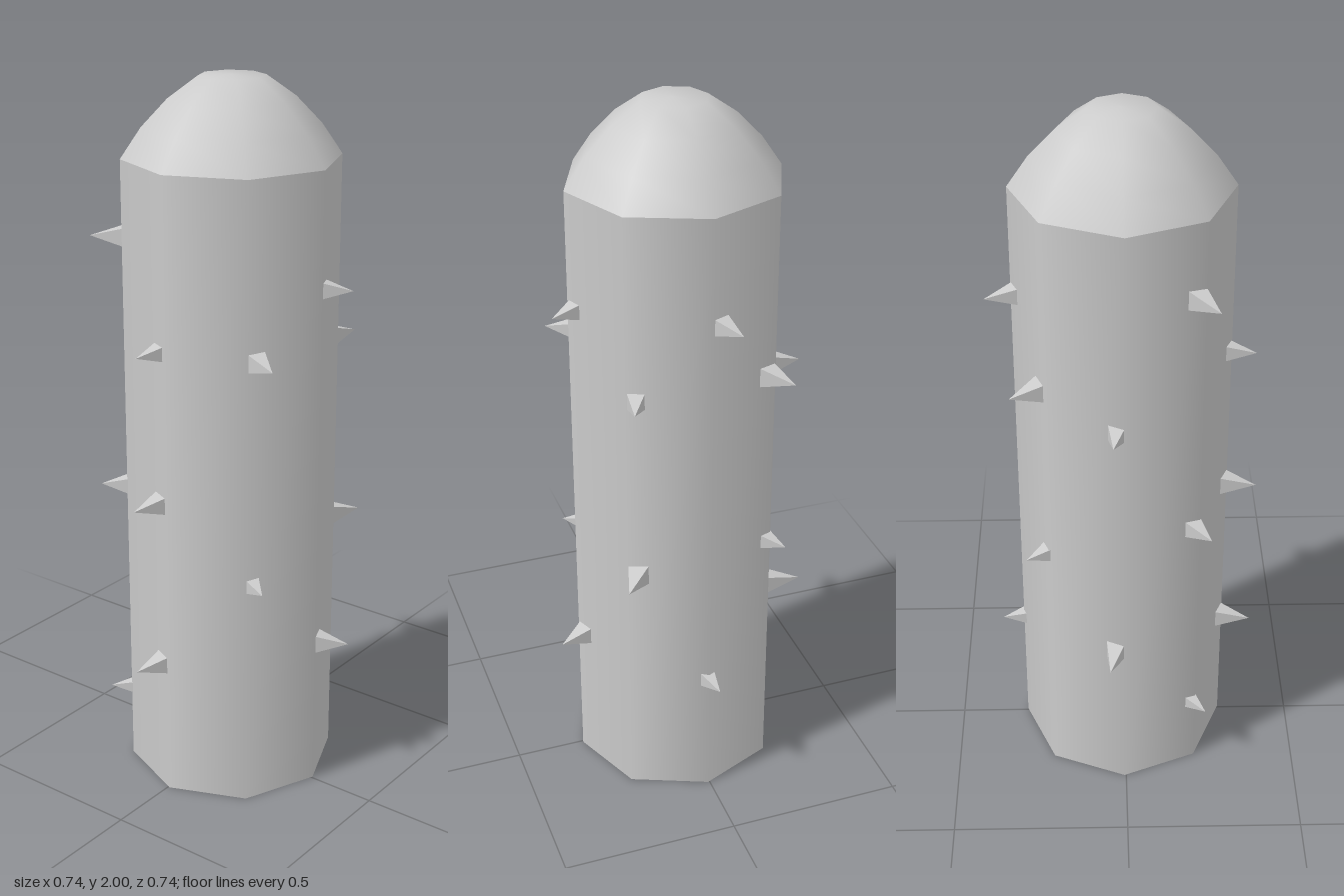
import * as THREE from 'three';

const mat = new THREE.MeshStandardMaterial({ color: 0xcccccc });
const flatMat = new THREE.MeshStandardMaterial({ color: 0xcccccc, flatShading: true });

// Four-sided thorn from a base point on the trunk to its tip
function makeThorn(base, tip, y, half) {
  const from = new THREE.Vector3(base[0], y, base[1]);
  const dir = new THREE.Vector3(tip[0], y, tip[1]).sub(from);
  const sink = 0.012;
  const length = dir.length() + sink;
  const geo = new THREE.ConeGeometry(half * Math.SQRT2, length, 4);
  geo.rotateY(Math.PI / 4);
  geo.translate(0, length / 2 - sink, 0);
  geo.rotateX(Math.PI / 2); // tip along +z
  const thorn = new THREE.Mesh(geo, flatMat);
  thorn.position.copy(from);
  thorn.rotation.y = Math.atan2(dir.x, dir.z);
  thorn.name = 'thorn';
  return thorn;
}

export function createModel() {
  const model = new THREE.Group();
  model.name = 'cactus';
  const sides = 8, radius = 0.296, shoulder = 1.785;

  // Eight-sided trunk
  const trunk = new THREE.Mesh(new THREE.CylinderGeometry(radius, radius, shoulder, sides), mat);
  trunk.position.set(0.005, shoulder / 2, 0.005);
  trunk.name = 'trunk';
  model.add(trunk);

  // Rounded crown
  const profile = [[radius, shoulder], [0.24, 1.867], [0.17, 1.94], [0.09, 1.997], [0, 2]]
    .map(([r, y]) => new THREE.Vector2(r, y));
  const crown = new THREE.Mesh(new THREE.LatheGeometry(profile, sides), mat);
  crown.position.set(0.005, 0, 0.005);
  crown.name = 'crown';
  model.add(crown);

  // Thorns near each corner of the trunk: base [x, z], tip [x, z], height, half width
  const thorns = [
    // front
    [[0.03, 0.288], [0.062, 0.36], 1.465, 0.025],
    [[0.032, 0.288], [0.068, 0.37], 0.43, 0.029],
    // front left
    [[0.23, 0.19], [0.298, 0.215], 1.275, 0.025],
    [[0.23, 0.192], [0.305, 0.24], 0.735, 0.029],
    // left
    [[0.29, -0.02], [0.37, -0.05], 1.49, 0.026],
    [[0.293, 0.006], [0.362, -0.005], 0.38, 0.023],
    // back left
    [[0.23, -0.18], [0.305, -0.225], 1.29, 0.028],
    [[0.22, -0.19], [0.275, -0.226], 0.765, 0.023],
    // back
    [[0.025, -0.28], [0.035, -0.352], 1.215, 0.026],
    [[0.03, -0.282], [0.046, -0.374], 0.48, 0.028],
    // back right
    [[-0.183, -0.215], [-0.235, -0.29], 1.575, 0.028],
    [[-0.185, -0.21], [-0.233, -0.275], 0.86, 0.027],
    [[-0.19, -0.205], [-0.233, -0.258], 0.22, 0.021],
    // right
    [[-0.285, -0.02], [-0.355, -0.035], 1.31, 0.023],
    [[-0.285, -0.022], [-0.37, -0.04], 0.88, 0.027],
    [[-0.285, -0.022], [-0.37, -0.042], 0.395, 0.027],
    // front right
    [[-0.18, 0.225], [-0.222, 0.306], 1.305, 0.028],
    [[-0.187, 0.22], [-0.22, 0.278], 0.668, 0.023],
  ];
  for (const [base, tip, y, half] of thorns) model.add(makeThorn(base, tip, y, half));

  return model;
}
